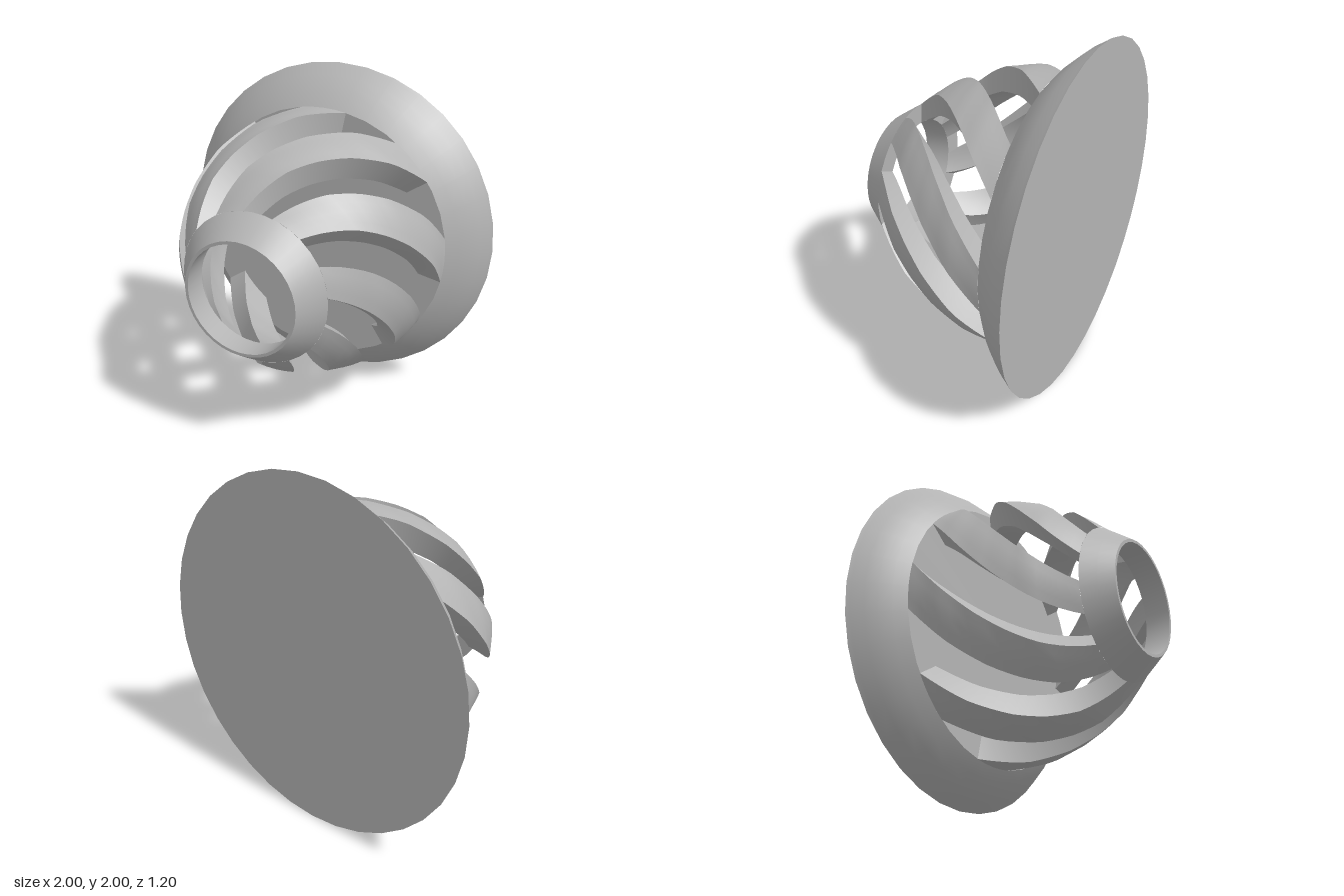
import * as THREE from 'three';
import { toCreasedNormals } from 'three/addons/utils/BufferGeometryUtils.js';

const RIBS = 8, BACK = -0.37, FRONT = 0.45;
const rad = THREE.MathUtils.degToRad;

// Bowl wall as [z, outer radius, inner radius]
const wall = [
  [-0.37, 0.785, 0.645], [-0.18, 0.775, 0.63], [0, 0.725, 0.585],
  [0.13, 0.67, 0.53], [0.25, 0.605, 0.465], [0.36, 0.515, 0.385], [0.45, 0.435, 0.32],
];

function radiusAt(z, column) {
  let i = 0;
  while (i < wall.length - 2 && z > wall[i + 1][0]) i++;
  const [a, b] = [wall[i], wall[i + 1]];
  return THREE.MathUtils.lerp(a[column], b[column], (z - a[0]) / (b[0] - a[0]));
}

// Solid of revolution about the z axis
function turned(points) {
  const profile = points.map(([r, z]) => new THREE.Vector2(r, z));
  return toCreasedNormals(new THREE.LatheGeometry(profile, 36).rotateX(Math.PI / 2), rad(32));
}

// Curved rib: a rectangular wall section that twists from back to front
function ribGeometry() {
  const steps = 20, across = 5, loop = across * 2;
  const positions = [], index = [];
  for (let i = 0; i <= steps; i++) {
    const t = i / steps;
    const z = THREE.MathUtils.lerp(BACK, FRONT, t);
    const centre = rad(THREE.MathUtils.lerp(-46, 17.5, t));
    const half = rad(THREE.MathUtils.lerp(10, 11.5, t));
    for (let j = 0; j < loop; j++) {
      const outer = j < across;
      const k = outer ? j : loop - 1 - j;
      const angle = centre + half * (2 * k / (across - 1) - 1);
      const r = radiusAt(z, outer ? 1 : 2);
      positions.push(r * Math.cos(angle), r * Math.sin(angle), z);
    }
  }
  for (let i = 0; i < steps; i++) {
    for (let j = 0; j < loop; j++) {
      const a = i * loop + j, b = i * loop + (j + 1) % loop;
      index.push(a, b, b + loop, a, b + loop, a + loop);
    }
  }
  const geometry = new THREE.BufferGeometry();
  geometry.setAttribute('position', new THREE.Float32BufferAttribute(positions, 3));
  geometry.setIndex(index);
  return toCreasedNormals(geometry, rad(35));
}

export function createModel() {
  const model = new THREE.Group();
  model.name = 'swirlBowl';
  const grey = new THREE.MeshStandardMaterial({ color: 0xb4b4b4 });
  grey.name = 'plainGrey';

  const add = (name, geometry) => {
    const mesh = new THREE.Mesh(geometry, grey);
    mesh.name = name;
    mesh.position.y = 1;
    model.add(mesh);
    return mesh;
  };

  // Solid flared base with a flat back and a flat floor
  add('flaredBase', turned([
    [0, -0.6], [1, -0.6], [0.985, -0.58], [0.945, -0.52], [0.9, -0.47],
    [0.85, -0.42], [0.785, BACK], [0, BACK],
  ]));

  // Open ring joining the front ends of the ribs
  add('frontRing', turned([
    [0.435, FRONT], [0.38, 0.527], [0.327, 0.6], [0.31, 0.6], [0.32, FRONT], [0.435, FRONT],
  ]));

  // Twisted ribs around the bowl
  const rib = ribGeometry();
  for (let i = 0; i < RIBS; i++) {
    add('twistedRib' + (i + 1), rib).rotation.z = i * 2 * Math.PI / RIBS;
  }
  return model;
}
